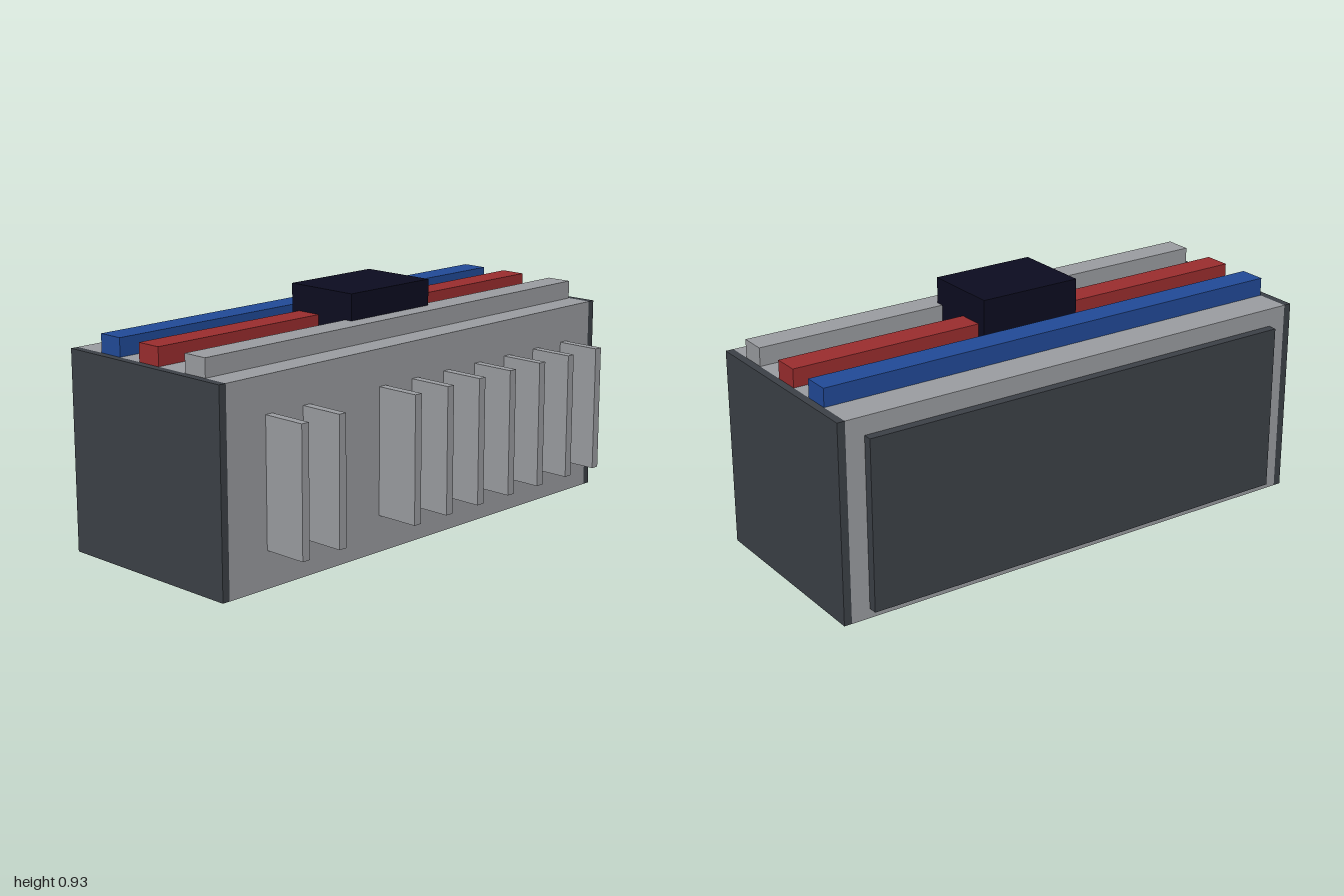
import * as THREE from 'three';

export function createModel() {
  const group = new THREE.Group();
  const paint = (name, color) => {
    const m = new THREE.MeshStandardMaterial({ color });
    m.name = name;
    return m;
  };
  const grey = paint('light grey', 0x9b9da1);
  const dark = paint('dark slate', 0x3c4147);
  const blue = paint('blue', 0x214a98);
  const red = paint('red', 0x9b2d2e);
  const navy = paint('near-black navy', 0x0c0c20);

  // Box given by its minimum and maximum on each axis
  function box(name, material, [x0, x1], [y0, y1], [z0, z1]) {
    const mesh = new THREE.Mesh(new THREE.BoxGeometry(x1 - x0, y1 - y0, z1 - z0), material);
    mesh.position.set((x0 + x1) / 2, (y0 + y1) / 2, (z0 + z1) / 2);
    mesh.name = name;
    group.add(mesh);
  }

  // Main body with an end plate at the front and the back
  const width = [-0.465, 0.325];
  box('body', grey, width, [0, 0.76], [-0.97, 0.97]);
  box('frontPlate', dark, width, [0, 0.76], [0.97, 1]);
  box('backPlate', dark, width, [0, 0.76], [-1, -0.97]);

  // Raised panel on one long side
  box('sidePanel', dark, [-0.5, -0.465], [0.037, 0.69], [-0.897, 0.897]);

  // Rails along the top
  const rails = [['blueRail', blue, -0.277], ['redRail', red, -0.069], ['greyRail', grey, 0.172]];
  for (const [name, material, x] of rails) {
    box(name, material, [x - 0.0515, x + 0.0515], [0.76, 0.83], [-0.97, 0.97]);
  }

  // Block straddling the rails
  box('topBlock', navy, [-0.156, 0.153], [0.76, 0.93], [-0.206, 0.206]);

  // Fins: a row of seven and a separate pair near the front
  for (const z of [-0.811, -0.64, -0.467, -0.295, -0.121, 0.051, 0.222, 0.601, 0.777]) {
    box('fin', grey, [0.325, 0.5], [0.139, 0.621], [z - 0.0165, z + 0.0165]);
  }

  return group;
}
